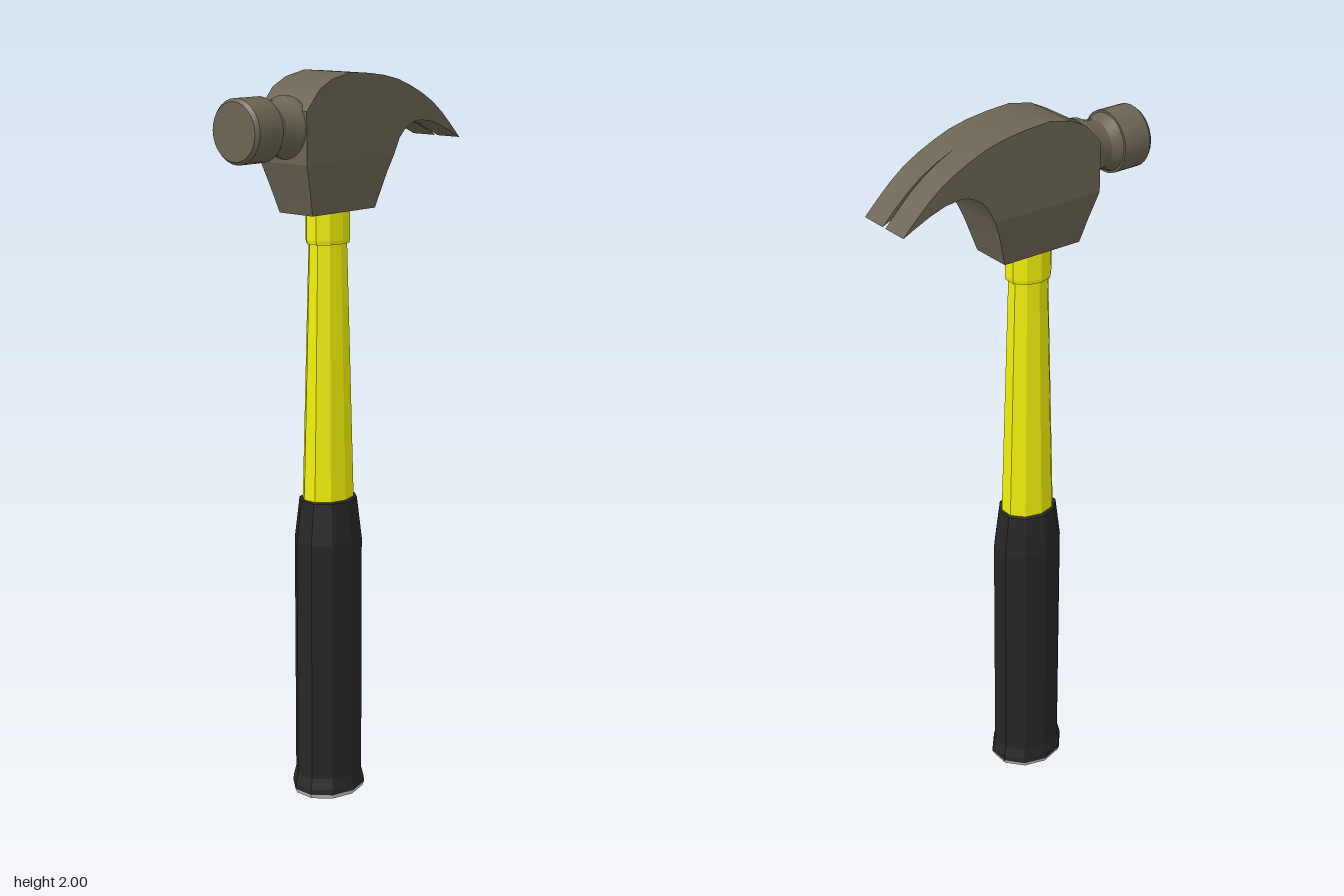
import * as THREE from 'three';
import { toCreasedNormals } from 'three/addons/utils/BufferGeometryUtils.js';

const steel = new THREE.MeshStandardMaterial({ color: 0x6b6453 });
const yellow = new THREE.MeshStandardMaterial({ color: 0xf0f00a, flatShading: true });
const rubber = new THREE.MeshStandardMaterial({ color: 0x262626, flatShading: true });
const grey = new THREE.MeshStandardMaterial({ color: 0xcccccc, flatShading: true });

const HANDLE_Z = 0.05;
const HALF_WIDTH = 0.083;
const SLOT_Z = -0.18;

function part(name, geometry, material) {
  const mesh = new THREE.Mesh(geometry, material);
  mesh.name = name;
  return mesh;
}

// Side profile of [z, y] points, extruded across x between two limits given as functions of (y, z)
function slab(name, profile, minX, maxX) {
  const shape = new THREE.Shape(profile.map(([z, y]) => new THREE.Vector2(-z, y)));
  const geo = new THREE.ExtrudeGeometry(shape, { depth: 1, bevelEnabled: false, curveSegments: 1 });
  geo.rotateY(Math.PI / 2);
  const p = geo.attributes.position;
  for (let i = 0; i < p.count; i++) {
    const y = p.getY(i), z = p.getZ(i);
    p.setX(i, THREE.MathUtils.lerp(minX(y, z), maxX(y, z), p.getX(i)));
  }
  return part(name, toCreasedNormals(geo, 0.5), steel);
}

// Ten-sided oval section turned from [radius, y] points, narrowed across x
function ovalShaft(name, profile, squash, material) {
  const points = profile.map(([r, y]) => new THREE.Vector2(r, y));
  const geo = new THREE.LatheGeometry(points, 10, Math.PI / 2);
  geo.scale(squash, 1, 1);
  geo.translate(0, 0, HANDLE_Z);
  return part(name, geo, material);
}

function createHead() {
  const head = new THREE.Group();
  head.name = 'head';

  // Body: straight-sided above, tapering to the socket below
  const full = () => HALF_WIDTH;
  const taper = (y) => THREE.MathUtils.mapLinear(y, 1.64, 1.775, 0.059, HALF_WIDTH);
  head.add(slab('headBody', [
    [0.215, 1.775], [0.215, 1.91], [0.167, 1.963], [0.12, 1.986], [0.05, 2],
    [-0.02, 1.995], [-0.08, 1.987], [-0.135, 1.974], [SLOT_Z, 1.957],
    [SLOT_Z, 1.852], [-0.16, 1.84], [-0.14, 1.82], [-0.117, 1.775],
  ], () => -HALF_WIDTH, full));
  head.add(slab('headSocket', [
    [0.17, 1.64], [0.192, 1.71], [0.215, 1.775],
    [-0.117, 1.775], [-0.1, 1.735], [-0.07, 1.64],
  ], (y) => -taper(y), taper));

  // Two claws separated by a narrow V slot
  const claw = [
    [SLOT_Z, 1.957], [-0.23, 1.934], [-0.275, 1.908], [-0.315, 1.877],
    [-0.355, 1.84], [-0.39, 1.805], [-0.35, 1.824], [-0.31, 1.842],
    [-0.265, 1.857], [-0.225, 1.862], [-0.2, 1.86], [SLOT_Z, 1.852],
  ];
  const slot = (y, z) => THREE.MathUtils.mapLinear(z, SLOT_Z, -0.39, 0, 0.006);
  head.add(slab('leftClaw', claw, slot, full));
  head.add(slab('rightClaw', claw, () => -HALF_WIDTH, (y, z) => -slot(y, z)));

  // Striking face and its waisted neck, turned about z
  const poll = [
    [0, 0.2], [0.081, 0.2], [0.081, 0.215], [0.073, 0.23], [0.068, 0.246], [0.064, 0.268],
    [0.07, 0.283], [0.077, 0.298], [0.083, 0.298], [0.083, 0.38], [0.075, 0.39], [0, 0.39],
  ].map(([r, z]) => new THREE.Vector2(r, z));
  const pollGeo = new THREE.LatheGeometry(poll, 28);
  pollGeo.rotateX(Math.PI / 2);
  pollGeo.translate(0, 1.866, 0);
  head.add(part('strikingFace', toCreasedNormals(pollGeo, 0.5), steel));
  return head;
}

function createHandle() {
  const handle = new THREE.Group();
  handle.name = 'handle';
  // Tapered shaft with a collar under the head
  handle.add(ovalShaft('shaft', [
    [0.078, 0.84], [0.057, 1.555], [0.064, 1.555], [0.066, 1.565], [0.066, 1.66],
  ], 0.835, yellow));
  // Rubber grip, flared at the butt
  handle.add(ovalShaft('grip', [
    [0.11, 0.015], [0.109, 0.03], [0.101, 0.06], [0.101, 0.74], [0.086, 0.855], [0.07, 0.86],
  ], 0.862, rubber));
  // Butt rim and end cap
  handle.add(ovalShaft('buttRim', [[0.096, 0], [0.105, 0.003], [0.11, 0.015]], 0.862, grey));
  handle.add(ovalShaft('buttCap', [[0, 0], [0.096, 0]], 0.862, rubber));
  return handle;
}

export function createModel() {
  const model = new THREE.Group();
  model.name = 'clawHammer';
  model.add(createHead(), createHandle());
  return model;
}
